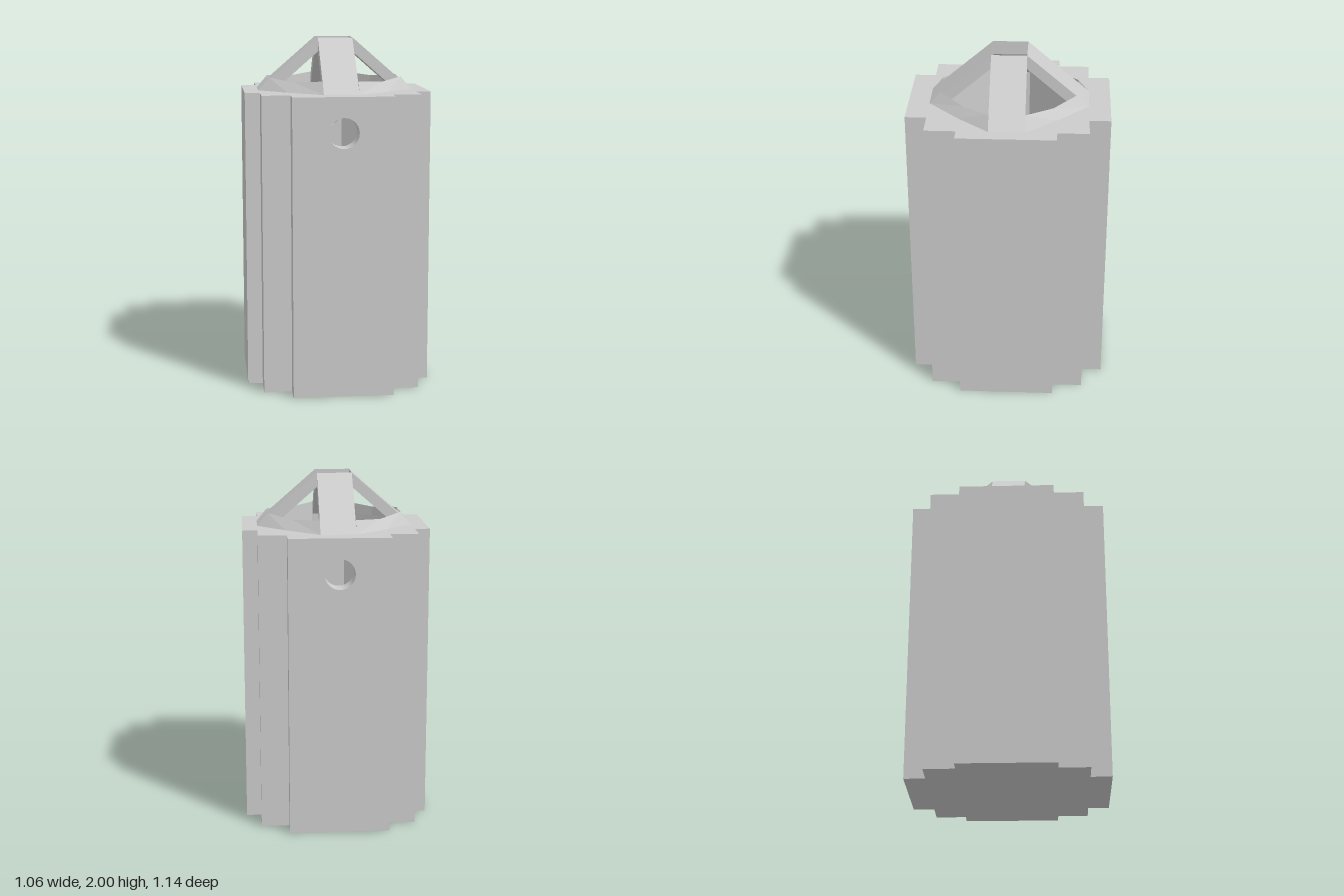
import * as THREE from 'three';
import { toCreasedNormals } from 'three/addons/utils/BufferGeometryUtils.js';

const TOP = 1.7, FLOOR = 0.1, PEAK = 2;
const mat = new THREE.MeshStandardMaterial({ color: 0xcccccc });

const shapeOf = (pts) => new THREE.Shape(pts.map(([x, y]) => new THREE.Vector2(x, y)));
const extrude = (shape, depth) => toCreasedNormals(
  new THREE.ExtrudeGeometry(shape, { depth, bevelEnabled: false, curveSegments: 32 }), 0.5);

export function createModel() {
  const group = new THREE.Group();
  const add = (name, geo) => {
    const mesh = new THREE.Mesh(geo, mat);
    mesh.name = name;
    group.add(mesh);
    return mesh;
  };

  // Stepped outline of one quarter, from the front face round to the side
  const quarter = [[0.285, 0.57], [0.285, 0.45], [0.445, 0.45], [0.445, 0.275], [0.53, 0.275]];
  const half = [...quarter, ...quarter.map(([x, z]) => [x, -z]).reverse()];
  const outline = [...half, ...half.map(([x, z]) => [-x, -z])];

  // Solid base plate
  add('basePlate', extrude(shapeOf(outline), FLOOR).rotateX(-Math.PI / 2));

  // Side walls around the faceted well, one per side
  const wall = shapeOf([[0.1, 0.57], ...half, [0.1, -0.57], [0.1, -0.45], [0.285, -0.275],
    [0.445, -0.1], [0.445, 0.1], [0.285, 0.275], [0.1, 0.45]]);
  const wallGeo = extrude(wall, TOP - FLOOR).rotateX(-Math.PI / 2).translate(0, FLOOR, 0);
  // Middle panels with a round hole, front and back
  const panel = shapeOf([[-0.1, FLOOR], [0.1, FLOOR], [0.1, TOP], [-0.1, TOP]]);
  panel.holes.push(new THREE.Path().absarc(0, 1.5, 0.085, 0, Math.PI * 2, true));
  const panelGeo = extrude(panel, 0.12).translate(0, 0, 0.45);
  ['left', 'right'].forEach((side, i) => {
    add(side + 'Wall', wallGeo).rotation.y = i * Math.PI;
    add(['front', 'back'][i] + 'HolePanel', panelGeo).rotation.y = i * Math.PI;
  });

  // Four sloping straps that leave a square opening at the peak
  ['left', 'back', 'right', 'front'].forEach((side, i) => {
    const r = i % 2 ? 0.45 : 0.445;
    const profile = shapeOf([[r, TOP], [0.1, PEAK], [0.1, PEAK - 0.08], [r - 0.095, TOP]]);
    add(side + 'Strap', extrude(profile, 0.2).translate(0, 0, -0.1)).rotation.y = i * Math.PI / 2;
  });

  // Sloping rim pieces between the straps: outer foot, inner crest, inner foot
  const sections = [
    [[0.1, 0.45], [0.1, 0.387], 1.77],
    [[0.288, 0.275], [0.25, 0.25], 1.755],
    [[0.445, 0.1], [0.383, 0.1], 1.773],
  ];
  for (const sx of [1, -1]) for (const sz of [1, -1]) {
    const rings = sections.map(([o, n, y]) => [
      [o[0] * sx, TOP, o[1] * sz], [n[0] * sx, y, n[1] * sz], [n[0] * sx, TOP, n[1] * sz]]);
    const pos = [];
    const tri = (a, b, c) => pos.push(...a, ...(sx * sz > 0 ? [...b, ...c] : [...c, ...b]));
    for (let i = 0; i < 2; i++) for (let j = 0; j < 3; j++) {
      const k = (j + 1) % 3;
      tri(rings[i][j], rings[i + 1][j], rings[i + 1][k]);
      tri(rings[i][j], rings[i + 1][k], rings[i][k]);
    }
    tri(rings[0][0], rings[0][1], rings[0][2]);
    tri(rings[2][0], rings[2][2], rings[2][1]);
    const geo = new THREE.BufferGeometry();
    geo.setAttribute('position', new THREE.Float32BufferAttribute(pos, 3));
    geo.computeVertexNormals();
    add((sz > 0 ? 'front' : 'back') + (sx > 0 ? 'Left' : 'Right') + 'Rim', geo);
  }
  return group;
}
